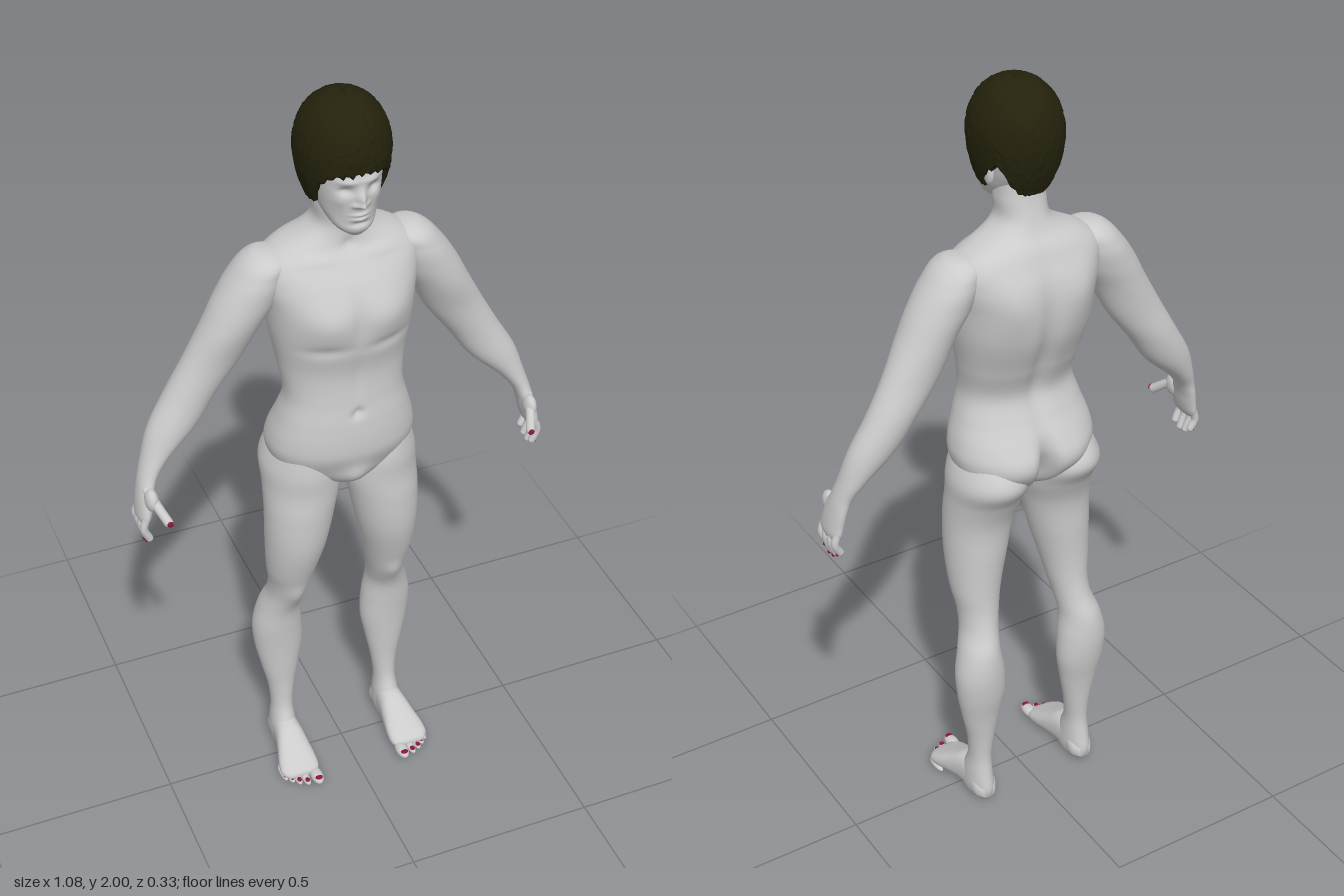
import * as THREE from 'three';

const skin = new THREE.MeshStandardMaterial({ color: 0xcbcbcb });
skin.name = 'skin';
const hairMat = new THREE.MeshStandardMaterial({ color: 0x24220c, side: THREE.DoubleSide });
hairMat.name = 'hair';
const nailMat = new THREE.MeshStandardMaterial({ color: 0x8c1638 });
nailMat.name = 'nail polish';

// Closed ring surface; rows run upwards, poles close both ends
function skinRings(rows, cols, point, caps = true) {
  const pos = [], idx = [];
  for (let i = 0; i < rows; i++) {
    for (let j = 0; j < cols; j++) pos.push(...point(i / (rows - 1), (j / cols) * Math.PI * 2));
  }
  for (let i = 0; i < rows - 1; i++) {
    for (let j = 0; j < cols; j++) {
      const k = (j + 1) % cols, a = i * cols, b = a + cols;
      idx.push(a + j, b + j, a + k, b + j, b + k, a + k);
    }
  }
  if (caps) for (const r of [0, rows - 1]) {
    const c = [0, 0, 0], pole = pos.length / 3;
    for (let j = 0; j < cols; j++) for (let d = 0; d < 3; d++) c[d] += pos[(r * cols + j) * 3 + d] / cols;
    pos.push(...c);
    for (let j = 0; j < cols; j++) {
      const p = r * cols + j, q = r * cols + (j + 1) % cols;
      idx.push(pole, r ? q : p, r ? p : q);
    }
  }
  const g = new THREE.BufferGeometry();
  g.setAttribute('position', new THREE.Float32BufferAttribute(pos, 3));
  g.setIndex(idx);
  g.computeVertexNormals();
  return g;
}

// Smooth loft through [y, xMin, xMax, zMin, zMax]; bumps are [|x|, y, sizeX, sizeY, dz, side]
function loft(sections, rows, cols, bumps = [], power = 1) {
  const s = [...sections].sort((a, b) => a[0] - b[0]);
  const curve = new THREE.CubicInterpolant(s.map(r => r[0]), s.flatMap(r => r.slice(1)), 4, new Float32Array(4));
  const y0 = s[0][0], y1 = s[s.length - 1][0];
  const bend = v => Math.sign(v) * Math.abs(v) ** power;
  return skinRings(rows, cols, (v, t) => {
    const y = y0 + (y1 - y0) * v;
    const [xa, xb, za, zb] = curve.evaluate(y);
    const x = (xa + xb) / 2 + (xb - xa) / 2 * bend(Math.cos(t));
    let z = (za + zb) / 2 + (zb - za) / 2 * bend(Math.sin(t));
    for (const [bx, by, sx, sy, dz, side] of bumps) {
      const u = (Math.abs(x) - bx) / sx, w = (y - by) / sy;
      z += dz * Math.exp(-u * u - w * w) * Math.max(0, side * Math.sin(t));
    }
    return [x, y, z];
  });
}

function reverse(g) {
  const a = g.index.array;
  for (let i = 0; i < a.length; i += 3) [a[i], a[i + 1]] = [a[i + 1], a[i]];
  return g;
}

function ellipsoid(x, y, z, rx, ry, rz) {
  return new THREE.SphereGeometry(1, 16, 12).scale(rx, ry, rz).translate(x, y, z);
}

function digit(points, r) {
  return new THREE.TubeGeometry(new THREE.CatmullRomCurve3(points.map(p => new THREE.Vector3(...p))), 12, r, 12);
}

export function createModel() {
  const model = new THREE.Group();
  const add = (name, geo, mat = skin) => {
    const m = new THREE.Mesh(geo, mat);
    m.name = name;
    model.add(m);
  };
  const both = (name, geo, mat = skin) => {
    add('left ' + name, geo, mat);
    add('right ' + name, reverse(geo.clone().scale(-1, 1, 1)), mat);
  };
  const centred = rows => rows.map(([y, x, za, zb]) => [y, -x, x, za, zb]);

  // Torso and neck
  add('torso', loft(centred([
    [0.93, 0.025, -0.05, 0.04], [0.97, 0.10, -0.11, 0.078], [1.02, 0.172, -0.145, 0.10],
    [1.06, 0.188, -0.152, 0.115], [1.10, 0.184, -0.14, 0.118], [1.16, 0.166, -0.11, 0.115],
    [1.22, 0.15, -0.09, 0.108], [1.30, 0.158, -0.115, 0.105], [1.40, 0.175, -0.152, 0.124],
    [1.48, 0.184, -0.16, 0.125], [1.54, 0.195, -0.152, 0.103], [1.59, 0.19, -0.132, 0.072],
    [1.62, 0.15, -0.118, 0.052], [1.645, 0.098, -0.10, 0.046], [1.67, 0.067, -0.088, 0.045],
    [1.72, 0.06, -0.073, 0.05], [1.78, 0.055, -0.065, 0.05],
  ]), 120, 96, [
    [0.085, 1.46, 0.06, 0.05, 0.012, 1], [0, 1.46, 0.016, 0.07, -0.008, 1],
    [0.085, 1.385, 0.06, 0.016, -0.007, 1], [0, 1.29, 0.012, 0.07, -0.004, 1],
    [0, 1.19, 0.011, 0.012, -0.012, 1], [0, 0.99, 0.035, 0.035, 0.016, 1],
    [0.09, 1.605, 0.06, 0.01, 0.006, 1], [0, 1.63, 0.015, 0.015, -0.008, 1],
    [0, 1.35, 0.025, 0.2, 0.016, -1], [0.1, 1.5, 0.05, 0.07, -0.012, -1],
    [0.09, 1.04, 0.06, 0.05, -0.012, -1], [0, 1.02, 0.02, 0.07, 0.05, -1],
  ], 0.9));

  // Legs
  both('leg', loft([
    [1.08, 0.06, 0.165, -0.11, 0.08], [1.0, 0.012, 0.199, -0.152, 0.09], [0.94, 0.006, 0.201, -0.12, 0.088],
    [0.87, 0.022, 0.203, -0.093, 0.09], [0.76, 0.045, 0.203, -0.086, 0.082], [0.66, 0.07, 0.197, -0.085, 0.055],
    [0.60, 0.083, 0.188, -0.09, 0.032], [0.55, 0.093, 0.19, -0.102, 0.015], [0.50, 0.099, 0.206, -0.122, -0.003],
    [0.43, 0.09, 0.222, -0.13, -0.013], [0.36, 0.087, 0.219, -0.125, -0.02], [0.28, 0.10, 0.204, -0.11, -0.025],
    [0.20, 0.115, 0.187, -0.10, -0.028], [0.13, 0.123, 0.182, -0.096, -0.022], [0.08, 0.12, 0.187, -0.104, 0],
    [0.03, 0.119, 0.188, -0.112, 0.02], [0.005, 0.125, 0.182, -0.104, 0.015],
  ], 100, 48, [[0.135, 0.585, 0.03, 0.035, 0.01, 1]]));

  // Feet: lofted upright, then the axes are swapped so the loft runs forwards
  const foot = loft([
    [-0.108, 0.135, 0.172, 0.012, 0.045], [-0.09, 0.122, 0.184, 0.002, 0.065], [-0.05, 0.12, 0.187, 0, 0.10],
    [0, 0.116, 0.193, 0.003, 0.098], [0.04, 0.111, 0.203, 0.002, 0.076], [0.08, 0.107, 0.213, 0, 0.052],
    [0.105, 0.109, 0.211, 0.002, 0.038], [0.122, 0.118, 0.195, 0.008, 0.028],
  ], 40, 32, [], 0.85);
  foot.applyMatrix4(new THREE.Matrix4().set(1, 0, 0, 0, 0, 0, 1, 0, 0, 1, 0, 0, 0, 0, 0, 1));
  reverse(foot).computeVertexNormals();
  both('foot', foot);
  const toes = [[0.126, 0.163, 0.017], [0.155, 0.152, 0.011], [0.175, 0.142, 0.0105], [0.191, 0.128, 0.01], [0.205, 0.113, 0.0095]];
  toes.forEach(([x, tip, r], i) => {
    both('toe ' + (i + 1), ellipsoid(x, r * 0.85, tip - 0.03, r, r * 0.85, 0.032));
    both('toenail ' + (i + 1), ellipsoid(x, r * 1.42, tip - 0.012, r * 0.6, 0.004, 0.008), nailMat);
  });

  // Arms and palms
  both('arm', loft([
    [1.614, 0.155, 0.205, -0.06, 0], [1.60, 0.13, 0.228, -0.085, 0.028], [1.56, 0.13, 0.264, -0.104, 0.043],
    [1.50, 0.15, 0.304, -0.105, 0.043], [1.44, 0.188, 0.335, -0.10, 0.036], [1.345, 0.238, 0.386, -0.095, 0.015],
    [1.26, 0.30, 0.434, -0.095, 0.008], [1.175, 0.36, 0.483, -0.085, 0.01], [1.10, 0.44, 0.508, -0.065, 0.012],
    [1.06, 0.472, 0.52, -0.052, 0.018], [1.03, 0.485, 0.527, -0.05, 0.03], [0.99, 0.494, 0.534, -0.046, 0.042],
    [0.962, 0.503, 0.536, -0.043, 0.044], [0.95, 0.511, 0.532, -0.036, 0.038],
  ], 100, 40));

  // Fingers and thumbs
  [[0.036, 0.908], [0.013, 0.898], [-0.011, 0.902], [-0.033, 0.915]].forEach(([z, tip], i) => {
    const n = 'finger ' + (i + 1);
    both(n, digit([[0.52, 0.97, z], [0.528, 0.94, z], [0.516, tip, z * 0.95]], 0.0098));
    both(n + ' tip', ellipsoid(0.516, tip, z * 0.95, 0.0098, 0.0098, 0.0098));
    both(n + ' nail', ellipsoid(0.523, tip - 0.004, z * 0.95, 0.004, 0.006, 0.0055), nailMat);
  });
  both('thumb', digit([[0.508, 1.04, 0.01], [0.496, 1.015, 0.052], [0.481, 0.987, 0.088]], 0.012));
  both('thumb base', ellipsoid(0.503, 1.02, 0.032, 0.017, 0.03, 0.027));
  both('thumb tip', ellipsoid(0.481, 0.987, 0.088, 0.012, 0.012, 0.012));
  both('thumb nail', ellipsoid(0.479, 0.987, 0.098, 0.008, 0.008, 0.004), nailMat);

  // Head with brow, nose, lips and eye sockets
  add('head', loft(centred([
    [1.684, 0.02, 0.05, 0.10], [1.70, 0.042, 0.02, 0.112], [1.73, 0.062, -0.03, 0.114], [1.77, 0.073, -0.07, 0.118],
    [1.81, 0.079, -0.09, 0.122], [1.85, 0.082, -0.10, 0.118], [1.90, 0.082, -0.10, 0.108],
    [1.95, 0.065, -0.075, 0.08], [1.975, 0.03, -0.03, 0.035],
  ]), 110, 96, [
    [0.033, 1.808, 0.016, 0.011, -0.013, 1], [0.032, 1.831, 0.028, 0.008, 0.005, 1],
    [0, 1.787, 0.009, 0.018, 0.018, 1], [0, 1.773, 0.012, 0.007, 0.013, 1],
    [0.015, 1.771, 0.006, 0.006, 0.006, 1], [0, 1.745, 0.02, 0.004, 0.006, 1],
    [0, 1.733, 0.018, 0.005, 0.007, 1], [0, 1.719, 0.022, 0.006, -0.005, 1],
    [0.05, 1.78, 0.015, 0.014, 0.004, 1], [0.05, 1.74, 0.014, 0.02, -0.005, 1],
  ], 0.92));
  both('eyelid', ellipsoid(0.033, 1.808, 0.093, 0.013, 0.007, 0.009));
  both('ear', ellipsoid(0.083, 1.79, -0.015, 0.01, 0.03, 0.018));

  // Hair: rough cap whose hem dips at the sideburns and nape, with a notch behind each ear
  const hem = new THREE.LinearInterpolant(
    [0, 0.6, 0.95, 1.2, 1.6, 1.85, 2.2, 2.45, 2.7, 3.15],
    [1.85, 1.842, 1.815, 1.755, 1.75, 1.80, 1.825, 1.77, 1.745, 1.722], 1, new Float32Array(1));
  let seed = 7;
  const rand = () => (seed = (seed * 16807) % 2147483647) / 2147483647 - 0.5;
  add('hair', skinRings(44, 96, (v, t) => {
    const a = Math.abs(Math.atan2(Math.cos(t), Math.sin(t)));
    const low = hem.evaluate(a)[0] + 0.005 * Math.sin(t * 31);
    // the first row tucks the hem inwards
    const k = Math.max(0, (v * 43 - 1) / 42);
    const angle0 = Math.asin(Math.max(-1, (low - 1.87) / 0.128));
    const lift = Math.sin(angle0 + (Math.PI / 2 - angle0) * k);
    const y = 1.87 + 0.128 * lift;
    let r = lift > 0 ? Math.sqrt(Math.max(0, 1 - lift * lift)) ** 0.9 : 1 - 0.27 * lift * lift;
    r *= (v === 0 ? 0.75 : 1) * (1 + 0.035 * rand());
    return [0.11 * r * Math.cos(t), y + 0.003 * rand(), 0.005 + 0.12 * r * Math.sin(t)];
  }, false), hairMat);
  return model;
}
